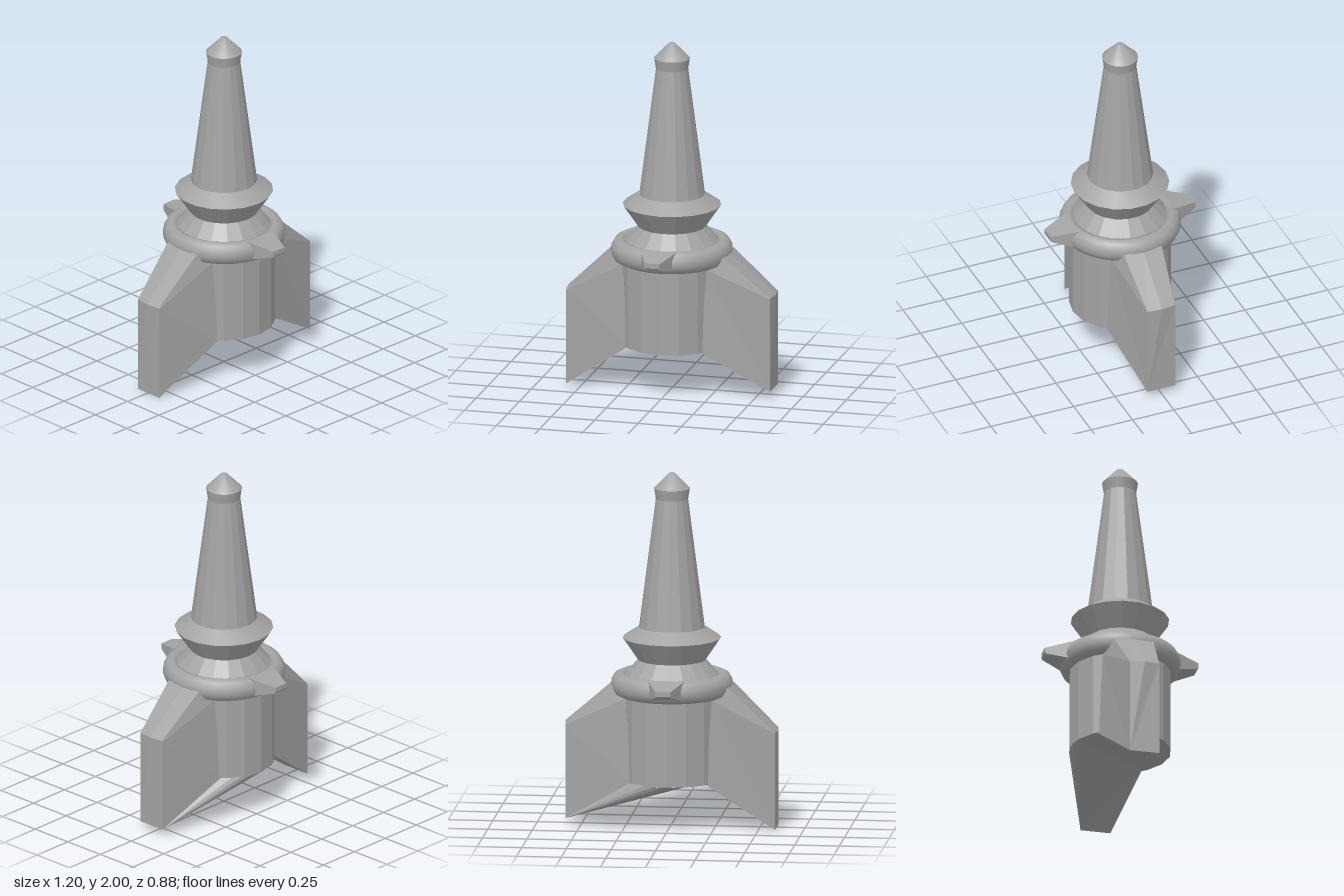
import * as THREE from 'three';
import { toCreasedNormals } from 'three/addons/utils/BufferGeometryUtils.js';

const V = (x, y, z) => new THREE.Vector3(x, y, z);

export function createModel() {
  const model = new THREE.Group();
  model.name = 'finnedSpire';
  const grey = new THREE.MeshStandardMaterial({ color: 0xa3a3a3 });
  grey.name = 'plain grey';

  const add = (name, geometry) => {
    const mesh = new THREE.Mesh(geometry, grey);
    mesh.name = name;
    model.add(mesh);
    return mesh;
  };
  // Turned part from [radius, height] pairs, listed from the bottom up
  const turned = (name, profile, sides, crease) => {
    const points = profile.map(([r, y]) => new THREE.Vector2(r, y));
    add(name, toCreasedNormals(new THREE.LatheGeometry(points, sides), crease));
  };
  // Flat-shaded surface from a list of triangles
  const faceted = (triangles) => {
    const g = new THREE.BufferGeometry().setFromPoints(triangles.flat());
    g.computeVertexNormals();
    return g;
  };
  // Joins equal loops of points and caps both ends
  const loft = (loops) => {
    const t = [];
    const n = loops[0].length;
    for (let k = 0; k < loops.length - 1; k++) {
      const a = loops[k], b = loops[k + 1];
      for (let i = 0; i < n; i++) {
        const j = (i + 1) % n;
        t.push([a[i], a[j], b[j]], [a[i], b[j], b[i]]);
      }
    }
    const first = loops[0], last = loops[loops.length - 1];
    for (let i = 1; i < n - 1; i++) {
      t.push([first[0], first[i + 1], first[i]], [last[0], last[i], last[i + 1]]);
    }
    return faceted(t);
  };

  // Central column, ring, collar, tapered shaft and tip
  turned('lowerBody', [[0, 0.265], [0.285, 0.265], [0.285, 0.8], [0, 0.8]], 16, 0.2);
  turned('ring', [[0.25, 0.745], [0.295, 0.74], [0.325, 0.755], [0.34, 0.79], [0.338, 0.825],
    [0.32, 0.857], [0.29, 0.87], [0.265, 0.862], [0.25, 0.83], [0.25, 0.745]], 32, 0.9);
  turned('collar', [[0.285, 0.83], [0.19, 0.94], [0.275, 1.065], [0.185, 1.125]], 18, 0.2);
  turned('shaft', [[0.185, 1.12], [0.09, 1.855]], 16, 0.2);
  turned('tip', [[0.09, 1.85], [0.1, 1.91], [0.018, 1.995], [0, 2]], 28, 0.6);

  // Side fins: seven-sided loops running from the body out to the blunt edge
  const fin = (name, low, high, side) => {
    const inner = [V(0.21, 0.265, 0.175), V(0.21, 0.265, -0.175), V(0.24, 0.74, -0.155),
      V(0.325, 0.805, -0.115), V(0.33, 0.81, 0), V(0.325, 0.805, 0.115), V(0.24, 0.74, 0.155)];
    const outer = [V(0.587, low, 0.085), V(0.587, low, -0.085), V(0.587, high - 0.004, -0.085),
      V(0.587, high, -0.083), V(0.598, high, 0), V(0.587, high, 0.083), V(0.587, high - 0.004, 0.085)];
    const mesh = add(name, loft([inner, outer]));
    if (side < 0) mesh.rotation.y = Math.PI;
  };
  fin('leftFin', 0.04, 0.58, 1);
  fin('rightFin', 0, 0.55, -1);

  // Sloping web from the back rim of the body down to the left fin
  const rim = [];
  for (let i = 0; i <= 6; i++) {
    const a = THREE.MathUtils.lerp(0.7, 1.93, i / 6);
    rim.push(V(0.284 * Math.cos(a), 0.265, -0.284 * Math.sin(a)));
  }
  const backCorner = V(0.587, 0.04, -0.085);
  const frontCorner = V(0.587, 0.04, 0.085);
  const rootFront = V(0.21, 0.265, 0.175);
  const web = [[backCorner, frontCorner, rootFront], [backCorner, rootFront, rim[6]]];
  for (let i = 0; i < 6; i++) web.push([backCorner, rim[i + 1], rim[i]]);
  add('finWeb', faceted(web));

  // Tapered lugs at the front and back of the ring
  for (const [name, turn] of [['frontLug', 0], ['backLug', Math.PI]]) {
    const section = (z, w, y0, y1) => [V(-w, y0, z), V(w, y0, z), V(w, y1, z), V(-w, y1, z)];
    const mesh = add(name, loft([section(0.29, 0.1, 0.765, 0.868), section(0.325, 0.088, 0.77, 0.861),
      section(0.432, 0.045, 0.8, 0.838), section(0.44, 0.043, 0.81, 0.838)]));
    mesh.rotation.y = turn;
  }

  model.children.forEach((part) => { part.position.x -= 0.004; part.position.z += 0.004; });
  return model;
}
